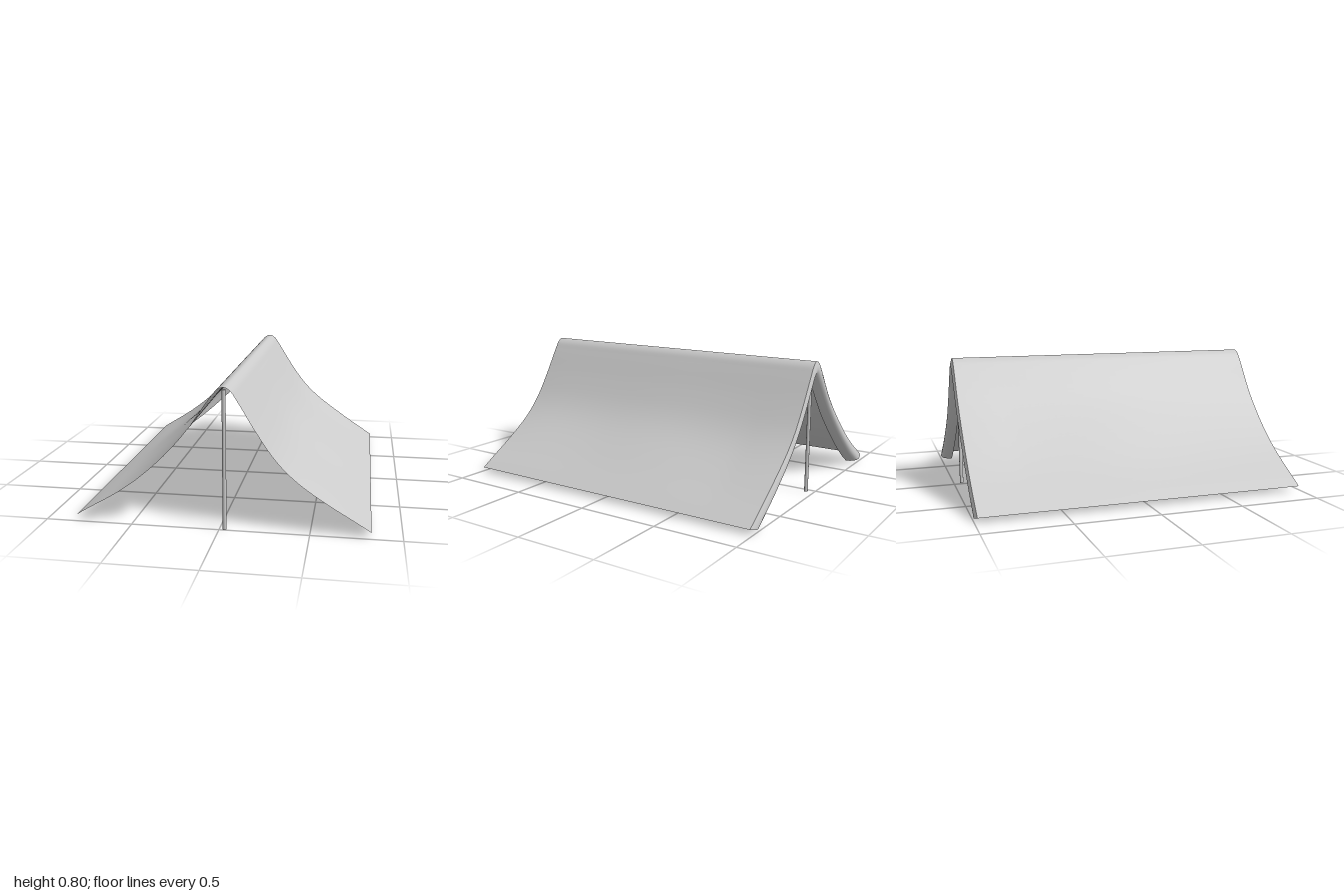
import * as THREE from 'three';

const RIDGE_X = 0.03, FRONT = 0.985, BACK = -0.985;

const spline = pts => new THREE.CatmullRomCurve3(pts.map(([x, y]) => new THREE.Vector3(x, y, 0)), false, 'centripetal');

// Roof line from the left-hand hem over the ridge to the other hem
const roofLine = spline([
  [-0.83, 0.03], [-0.6, 0.178], [-0.4, 0.342], [-0.2, 0.54], [-0.05, 0.74], [-0.01, 0.785],
  [RIDGE_X, 0.80], [0.065, 0.78], [0.1, 0.73], [0.2, 0.572], [0.3, 0.435], [0.4, 0.335], [0.6, 0.185], [0.83, 0.03],
]);
// Inner edge of the rear valance
const valanceLine = spline([
  [-0.70, 0.006], [-0.6, 0.072], [-0.4, 0.238], [-0.2, 0.435], [-0.04, 0.63], [0.0, 0.675],
  [RIDGE_X, 0.70], [0.06, 0.675], [0.1, 0.615], [0.2, 0.46], [0.3, 0.335], [0.4, 0.235], [0.6, 0.07], [0.70, 0.006],
]);

// Smooth surface from a function (u, v) -> point
function sheet(name, nu, nv, fn, material) {
  const pos = [], idx = [];
  for (let j = 0; j <= nv; j++)
    for (let i = 0; i <= nu; i++) pos.push(...fn(i / nu, j / nv));
  for (let j = 0; j < nv; j++)
    for (let i = 0; i < nu; i++) {
      const a = j * (nu + 1) + i, b = a + 1, c = a + nu + 1, d = c + 1;
      idx.push(a, c, b, b, c, d);
    }
  const g = new THREE.BufferGeometry();
  g.setAttribute('position', new THREE.Float32BufferAttribute(pos, 3));
  g.setIndex(idx);
  g.computeVertexNormals();
  const mesh = new THREE.Mesh(g, material);
  mesh.name = name;
  return mesh;
}

// Cloth point: the roof line with soft ripples and a deeper sag at the front
function clothPoint(u, z) {
  const p = roofLine.getPoint(u);
  const t = Math.min(1, Math.abs(p.x - RIDGE_X) / 0.82);
  const belly = Math.sin(Math.PI * t) ** 2;
  const frontSag = Math.max(0, (z - 0.4) / 0.585) ** 2 * 0.022;
  const ripple = 0.006 * (1 - Math.cos(z * 5.5 + (p.x > 0 ? 0.6 : 0)));
  const back = Math.min(1, (z - BACK) / 0.3);
  return [p.x, p.y - belly * (frontSag + ripple * back), z];
}

export function createModel() {
  const group = new THREE.Group();
  const cloth = new THREE.MeshStandardMaterial({ color: 0xcccccc, side: THREE.DoubleSide });
  const metal = new THREE.MeshStandardMaterial({ color: 0xcccccc });

  // Main cloth
  group.add(sheet('canopy', 80, 40, (u, v) => clothPoint(u, BACK + v * (FRONT - BACK)), cloth));

  // Rear valance, hanging from the back edge and curling inward
  group.add(sheet('rearValance', 80, 10, (u, v) => {
    const top = clothPoint(u, BACK), low = valanceLine.getPoint(u);
    const k = Math.sin(v * Math.PI / 2);
    const z = BACK - 0.013 * Math.sin(Math.PI * Math.min(1, v * 1.4)) + 0.055 * v ** 3;
    const endDip = Math.sin(Math.PI * k) * 0.006 * Math.abs(2 * u - 1) ** 12;
    return [top[0] + (low.x - top[0]) * k, Math.max(0.004, top[1] + (low.y - top[1]) * k - endDip), z];
  }, cloth));

  // Upright poles under both ends of the ridge
  for (const [name, z] of [['frontPole', 0.988], ['backPole', -0.95]]) {
    const pole = new THREE.Mesh(new THREE.CylinderGeometry(0.011, 0.011, 0.79, 16), metal);
    pole.position.set(RIDGE_X, 0.395, z);
    pole.name = name;
    group.add(pole);
  }
  return group;
}
